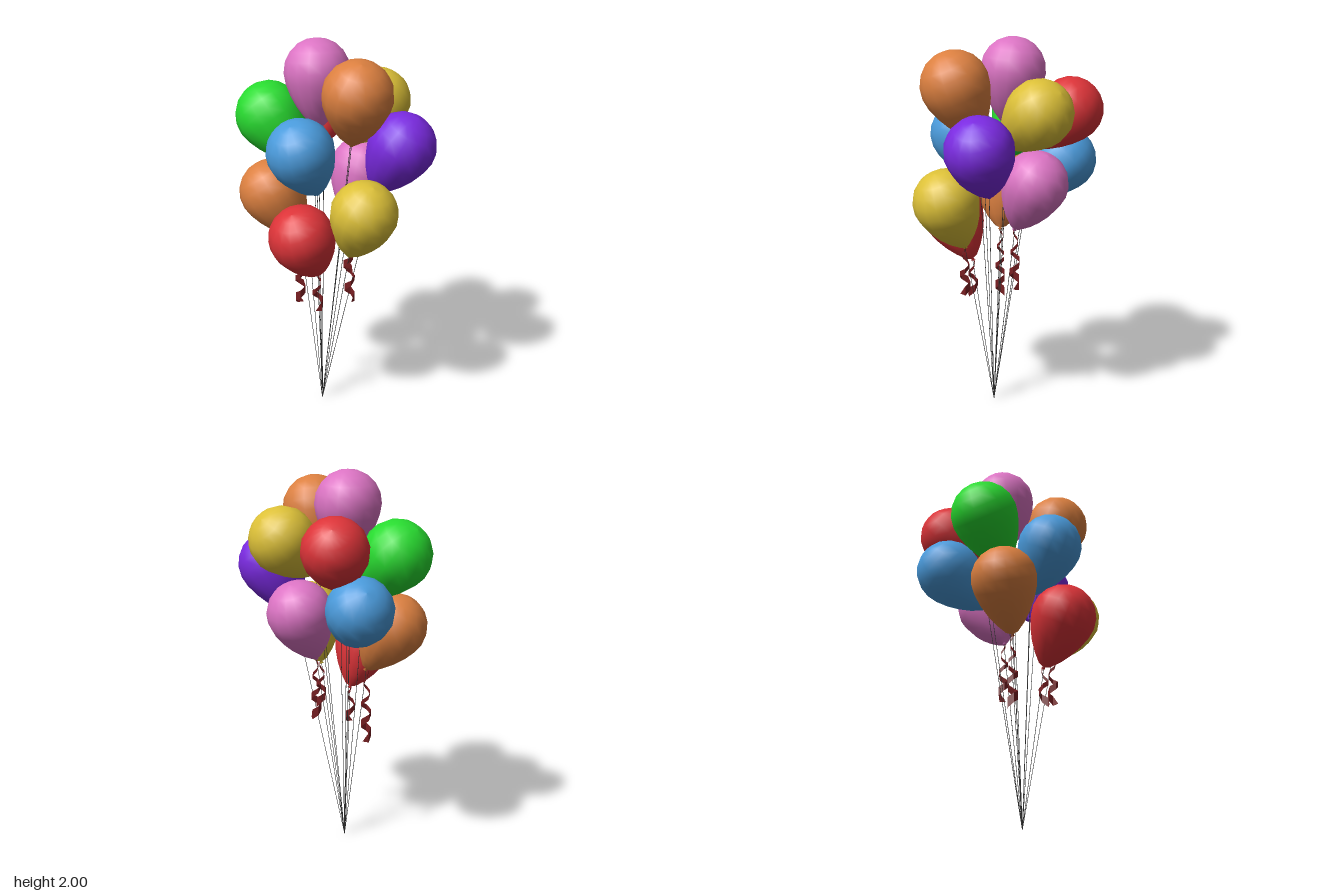
import * as THREE from 'three';

const UP = new THREE.Vector3(0, 1, 0);
const GATHER = new THREE.Vector3(-0.025, 0, 0.05);
const KNOT = -1.64; // knot height in balloon radii below the widest ring

const material = (color, extra = {}) => new THREE.MeshStandardMaterial({ color, ...extra });

const colors = {
  pink: material(0xdc74c4), orange: material(0xdc8040), green: material(0x28dc30),
  blue: material(0x4a9bdc), purple: material(0x7a2ae0), yellow: material(0xdcc038),
  red: material(0xdc3338),
};

// colour, centre of the widest ring, leaning direction, radius, ribbon length
const balloons = [
  ['pink', [-0.10, 1.83, -0.02], [-0.08, 1, -0.08], 0.168, 0],
  ['orange', [0.228, 1.78, 0.105], [0.28, 0.92, 0.25], 0.173, 0],
  ['green', [-0.345, 1.59, 0.06], [-0.66, 0.75, 0.05], 0.177, 0],
  ['blue', [-0.015, 1.49, 0.235], [0, 0.87, 0.48], 0.17, 0],
  ['purple', [0.345, 1.50, -0.115], [0.47, 0.88, -0.12], 0.172, 0],
  ['yellow', [0.09, 1.66, -0.29], [0.1, 0.65, -0.75], 0.168, 0],
  ['red', [-0.24, 1.635, -0.28], [-0.4, 0.7, -0.6], 0.166, 0],
  ['blue', [-0.327, 1.35, -0.20], [-0.6, 0.65, -0.45], 0.169, 0],
  ['orange', [-0.277, 1.21, 0.14], [-0.48, 0.85, 0.2], 0.17, 0.4],
  ['red', [0.025, 1.07, 0.285], [0, 0.87, 0.47], 0.168, 0.21],
  ['yellow', [0.288, 1.205, 0.127], [0.38, 0.9, 0.12], 0.169, 0.26],
  ['pink', [0.03, 1.295, -0.235], [0, 0.9, -0.42], 0.168, 0.33],
];

// Unit balloon: round top, tapering to a knot with a small flared lip
function balloonGeometry() {
  const profile = [
    [0, -1.72], [0.07, -1.71], [0.03, -1.65], [0.19, -1.58], [0.43, -1.32], [0.64, -1.02], [0.82, -0.68],
    [0.95, -0.32], [1, 0], [0.95, 0.33], [0.8, 0.61], [0.57, 0.83], [0.29, 0.96], [0, 1],
  ].map(([r, y]) => new THREE.Vector2(r, y));
  return new THREE.LatheGeometry(profile, 16);
}

// Curly ribbon: a strip winding down a small helix, with a broad pointed tail
function ribbonGeometry(length, phase) {
  const positions = [], index = [];
  const steps = Math.round(length * 45);
  for (let i = 0; i <= steps; i++) {
    const t = i / steps, a = phase + i * 1.25;
    const r = 0.008 + 0.02 * Math.min(1, t * 2);
    const width = i === steps ? 0 : 0.008 + 0.022 * t * t;
    const x = r * Math.cos(a), z = r * Math.sin(a);
    const y = -t * length;
    positions.push(x, y + width, z, x, y - width, z);
    if (i < steps) {
      const k = i * 2;
      index.push(k, k + 1, k + 2, k + 1, k + 3, k + 2);
    }
  }
  const geometry = new THREE.BufferGeometry();
  geometry.setAttribute('position', new THREE.Float32BufferAttribute(positions, 3));
  geometry.setIndex(index);
  geometry.computeVertexNormals();
  return geometry;
}

// Thin straight string between two points
function stringMesh(from, to, mat) {
  const dir = to.clone().sub(from);
  const mesh = new THREE.Mesh(new THREE.CylinderGeometry(0.0018, 0.0018, dir.length(), 4), mat);
  mesh.position.copy(from).addScaledVector(dir, 0.5);
  mesh.quaternion.setFromUnitVectors(UP, dir.normalize());
  mesh.name = 'string';
  return mesh;
}

export function createModel() {
  const model = new THREE.Group();
  model.name = 'balloonBunch';
  const shape = balloonGeometry();
  const stringMat = material(0x333333);
  const ribbonMat = material(0x7a1f22, { side: THREE.DoubleSide, flatShading: true });

  balloons.forEach(([color, centre, lean, radius, ribbonLength], i) => {
    const dir = new THREE.Vector3(...lean).normalize();
    const position = new THREE.Vector3(...centre);
    const knot = position.clone().addScaledVector(dir, KNOT * radius);

    const group = new THREE.Group();
    group.name = `${color}Balloon${i + 1}`;

    const body = new THREE.Mesh(shape, colors[color]);
    body.name = 'balloon';
    body.position.copy(position);
    body.quaternion.setFromUnitVectors(UP, dir);
    body.scale.setScalar(radius);
    group.add(body, stringMesh(GATHER, knot, stringMat));

    // Ribbons hang from the lower balloons
    if (ribbonLength) {
      const ribbon = new THREE.Mesh(ribbonGeometry(ribbonLength, i * 1.7), ribbonMat);
      ribbon.name = 'ribbon';
      ribbon.position.copy(knot);
      group.add(ribbon);
    }
    model.add(group);
  });
  return model;
}
